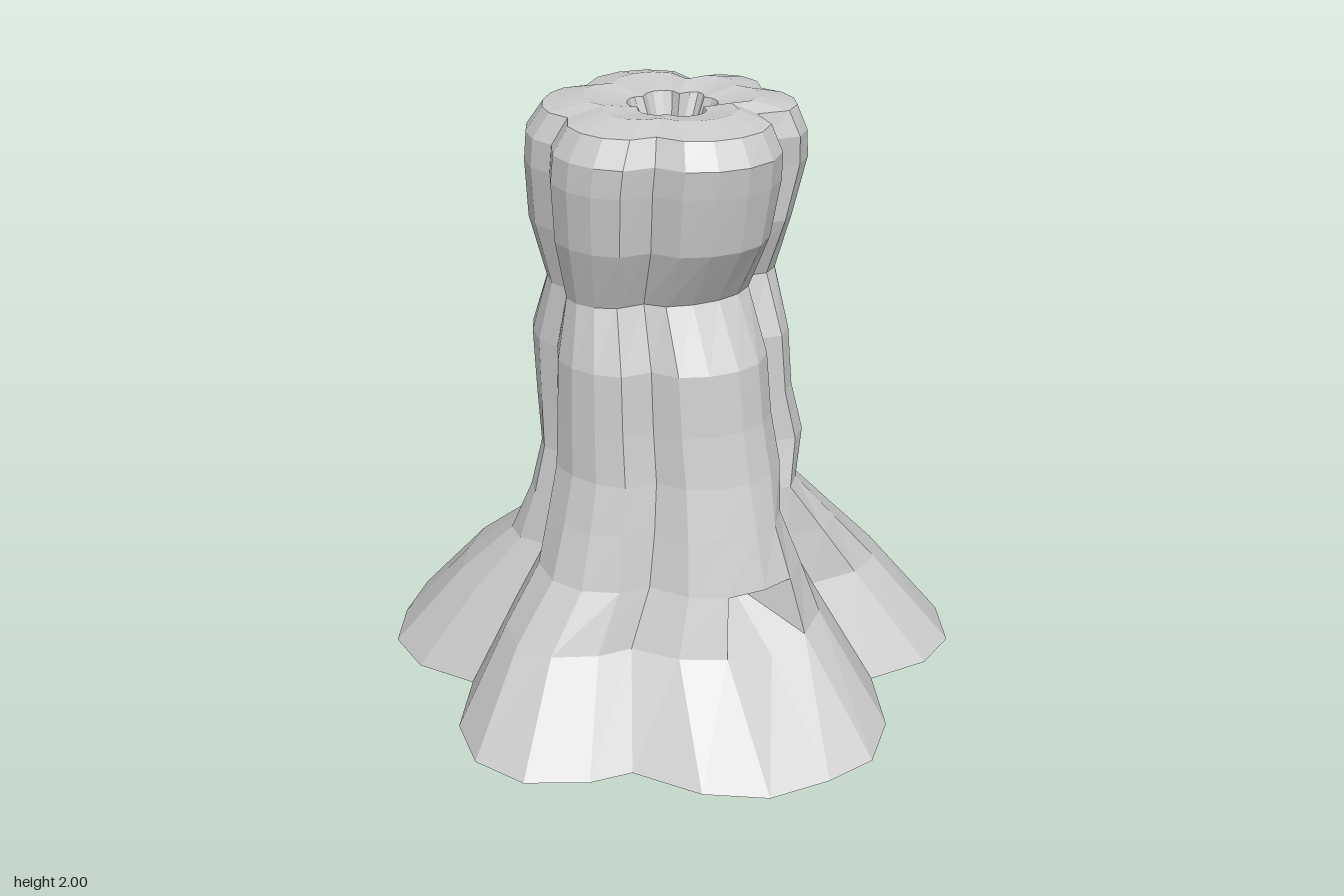
import * as THREE from 'three';

// Ground outline as x, z pairs: six root lobes, going from +x towards +z
const OUTLINE = [
  0.82, 0, 0.92, 0.19, 0.92, 0.38, 0.82, 0.56, 0.66, 0.63,
  0.44, 0.61, 0.32, 0.84, 0.16, 0.97, -0.02, 0.98, -0.23, 0.95, -0.4, 0.82,
  -0.53, 0.61, -0.67, 0.58, -0.85, 0.47, -0.93, 0.29, -0.89, 0.09,
  -0.74, -0.11, -0.85, -0.3, -0.85, -0.49, -0.74, -0.65, -0.59, -0.79, -0.42, -0.82,
  -0.23, -0.73, -0.03, -0.91, 0.16, -0.98, 0.36, -0.93, 0.48, -0.79,
  0.53, -0.54, 0.77, -0.51, 0.92, -0.4, 0.92, -0.21,
];
const N = OUTLINE.length / 2;

// Grooves between lobes: [column, angle in degrees, trunk radius there]
const GROOVES = [
  [0, 0, 0.88], [5, 52, 0.7], [11, 129, 0.84], [16, 188, 0.88],
  [22, 250, 0.86], [27, 320, 0.7], [31, 360, 0.88],
];

// Levels: [y, reach to -x, +x, -z, +z, share of ground outline in the shape]
const LEVELS = [
  [0, 0.93, 0.92, 0.98, 0.98, 1],
  [0.31, 0.71, 0.70, 0.69, 0.64, 0.9],
  [0.5, 0.56, 0.53, 0.435, 0.585, 0.6],
  [0.68, 0.5, 0.37, 0.335, 0.53, 0.2],
  [0.84, 0.46, 0.42, 0.32, 0.48, 0],
  [1.01, 0.45, 0.38, 0.4, 0.44, 0],
  [1.21, 0.44, 0.37, 0.47, 0.41, 0],
  [1.41, 0.4, 0.35, 0.375, 0.29, 0],
  [1.61, 0.44, 0.37, 0.47, 0.41, 0],
  [1.8, 0.45, 0.42, 0.47, 0.44, 0],
  [1.89, 0.44, 0.41, 0.47, 0.45, 0],
  [1.97, 0.385, 0.38, 0.41, 0.4, 0.2],
  [1.995, 0.26, 0.27, 0.29, 0.27, 0.4],
  [1.975, 0.13, 0.14, 0.14, 0.15, 0.6],
  [1.78, 0.05, 0.06, 0.06, 0.06, 1],
];

// Unit trunk section with a rounded lobe between each pair of grooves
function trunkSection() {
  const points = [];
  for (let g = 0; g < GROOVES.length - 1; g++) {
    const [c0, a0, r0] = GROOVES[g];
    const [c1, a1, r1] = GROOVES[g + 1];
    for (let c = c0; c < c1; c++) {
      const t = (c - c0) / (c1 - c0);
      const a = THREE.MathUtils.degToRad(a0 + (a1 - a0) * t);
      const dip = r0 + (r1 - r0) * t;
      const r = dip + (1 - dip) * Math.pow(Math.sin(Math.PI * t), 0.5);
      points.push([Math.cos(a) * r, Math.sin(a) * r]);
    }
  }
  return points;
}

// One ring, blended between trunk and ground shapes and fitted to its reach
function ring([y, left, right, back, front, share], trunk) {
  const raw = trunk.map(([x, z], i) => [
    THREE.MathUtils.lerp(x, OUTLINE[2 * i], share),
    THREE.MathUtils.lerp(z, OUTLINE[2 * i + 1], share),
  ]);
  const xs = raw.map((p) => p[0]);
  const zs = raw.map((p) => p[1]);
  const fit = (v, all, lo, hi) => (v < 0 ? (v / -Math.min(...all)) * lo : (v / Math.max(...all)) * hi);
  return raw.map(([x, z]) => new THREE.Vector3(fit(x, xs, left, right), y, fit(z, zs, back, front)));
}

function meshOf(name, triangles, material) {
  const geometry = new THREE.BufferGeometry().setFromPoints(triangles);
  geometry.computeVertexNormals();
  const mesh = new THREE.Mesh(geometry, material);
  mesh.name = name;
  return mesh;
}

export function createModel() {
  const group = new THREE.Group();
  group.name = 'treeStump';
  const material = new THREE.MeshStandardMaterial({ color: 0xcccccc, flatShading: true });
  const trunk = trunkSection();
  const rings = LEVELS.map((level) => ring(level, trunk));

  // Hollows between the roots, given by their middle column
  const hollows = [
    { name: 'frontHollow', column: 8, apex: new THREE.Vector3(-0.04, 0.46, 0.42) },
    { name: 'sideHollow', column: 0, apex: new THREE.Vector3(0.36, 0.46, 0.02) },
  ];
  hollows.forEach((h) => { rings[1][h.column].y = 0.28; });
  const isOpen = (level, c) => level === 1
    && hollows.some((h) => c === h.column || c === (h.column + N - 1) % N);

  // Surface strips between neighbouring rings, split by part
  const strips = (from, to) => {
    const out = [];
    for (let l = from; l < to; l++) {
      for (let c = 0; c < N; c++) {
        if (isOpen(l, c)) continue;
        const n = (c + 1) % N;
        const [a, b, u, v] = [rings[l][c], rings[l][n], rings[l + 1][c], rings[l + 1][n]];
        out.push(a, u, b, u, v, b);
      }
    }
    return out;
  };
  // Fan closing a ring at its centre
  const fan = (points, centre, down) => points.flatMap((p, i) => {
    const q = points[(i + 1) % N];
    return down ? [centre, p, q] : [p, centre, q];
  });

  group.add(meshOf('roots', strips(0, 3), material));
  group.add(meshOf('trunk', strips(3, 11), material));
  group.add(meshOf('cutTop', strips(11, 13), material));
  const last = rings.length - 1;
  const pit = strips(13, last).concat(fan(rings[last], new THREE.Vector3(0, 1.76, 0), false));
  group.add(meshOf('topCavity', pit, material));
  group.add(meshOf('underside', fan(rings[0], new THREE.Vector3(), true), material));

  // Sunken hollow walls
  for (const { name, column, apex } of hollows) {
    const [p, m, n] = [(column + N - 1) % N, column, (column + 1) % N];
    const [low, high] = [rings[1], rings[2]];
    const rim = [low[p], high[p], high[m], high[n], low[n], low[m]];
    const walls = rim.flatMap((v, i) => [v, rim[(i + 1) % rim.length], apex]);
    group.add(meshOf(name, walls, material));
  }
  return group;
}
